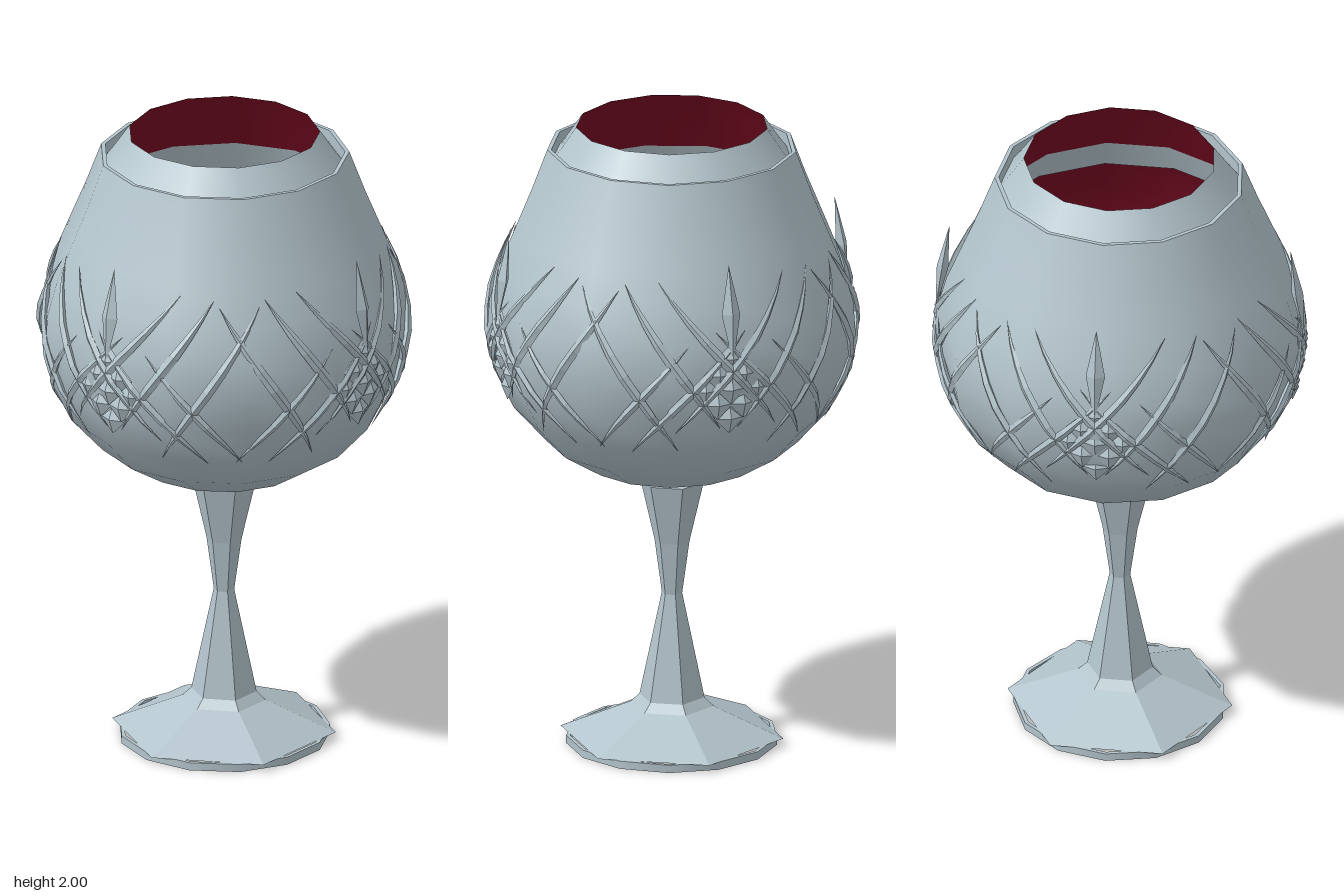
import * as THREE from 'three';

const glass = new THREE.MeshStandardMaterial({ color: 0xb3c4cc });
glass.name = 'pale glass';
const wine = new THREE.MeshStandardMaterial({ color: 0x780a22 });
wine.name = 'dark red lining';

const SIDES = 13;
const rad = THREE.MathUtils.degToRad;

// Outer bowl profile, bottom to top: [radius, height]
const BOWL = [[0, 0.865], [0.14, 0.867], [0.26, 0.905], [0.39, 0.985], [0.49, 1.095], [0.55, 1.22],
  [0.573, 1.345], [0.566, 1.45], [0.535, 1.56], [0.49, 1.67], [0.436, 1.8], [0.387, 1.93]];

function bowlRadius(y) {
  for (let i = 1; i < BOWL.length; i++) {
    const [r0, y0] = BOWL[i - 1], [r1, y1] = BOWL[i];
    if (y <= y1) return r0 + (r1 - r0) * (y - y0) / (y1 - y0);
  }
  return 0.387;
}

function add(parent, name, geometry, material = glass) {
  const mesh = new THREE.Mesh(geometry, material);
  mesh.name = name;
  parent.add(mesh);
  return mesh;
}

function flat(geometry) {
  const g = geometry.index ? geometry.toNonIndexed() : geometry;
  g.computeVertexNormals();
  return g;
}

// Rising profiles face outward, falling profiles face inward
function lathe(profile, sides = SIDES, start = Math.PI) {
  return new THREE.LatheGeometry(profile.map(([r, y]) => new THREE.Vector2(r, y)), sides, start);
}

// Tapered cut that follows the bowl between two [degrees, height] points
function bladeGeometry([a0, y0], [a1, y1], width) {
  const steps = 8, pos = [], index = [];
  const point = (t) => {
    const a = rad(a0 + (a1 - a0) * t), y = y0 + (y1 - y0) * t, r = bowlRadius(y);
    return new THREE.Vector3(Math.sin(a) * r, y, Math.cos(a) * r);
  };
  for (let i = 0; i <= steps; i++) {
    const t = i / steps, p = point(t);
    const along = point(t + 0.01).sub(point(t - 0.01)).normalize();
    const out = new THREE.Vector3(p.x, 0, p.z).normalize();
    const side = along.clone().cross(out).normalize();
    const w = width * Math.sin(Math.PI * t) + 0.0008;
    for (const [v, s] of [[side, w / 2], [out, w * 0.3], [side, -w / 2], [out, -w * 0.5]]) {
      pos.push(...p.clone().addScaledVector(v, s).toArray());
    }
    if (i === steps) break;
    for (let j = 0; j < 4; j++) {
      const a = i * 4 + j, b = i * 4 + (j + 1) % 4;
      index.push(a, a + 4, b, b, a + 4, b + 4);
    }
  }
  const g = new THREE.BufferGeometry();
  g.setAttribute('position', new THREE.Float32BufferAttribute(pos, 3));
  g.setIndex(index);
  return flat(g);
}

// One cut-glass motif: crossing blades, upright spike and a lattice of facets
function cutMotif() {
  const motif = new THREE.Group();
  motif.name = 'cutMotif';
  const blades = [
    [[-24, 1.65], [18, 1.17], 0.03],
    [[-36, 1.64], [-3, 1.18], 0.032],
    [[-34, 1.09], [5, 1.5], 0.028],
    [[-52, 1.62], [-17, 1.1], 0.032],
    [[-46, 1.1], [-14, 1.46], 0.026],
  ];
  for (const [from, to, width] of blades) {
    for (const s of [1, -1]) {
      add(motif, 'cutBlade', bladeGeometry([from[0] * s, from[1]], [to[0] * s, to[1]], width));
    }
  }
  const spike = add(motif, 'uprightSpike', flat(new THREE.OctahedronGeometry(1)));
  spike.scale.set(0.03, 0.155, 0.018);
  spike.position.set(0, 1.555, 0.553);
  spike.rotation.x = -0.14;
  const facet = flat(new THREE.ConeGeometry(0.05, 0.02, 4).rotateX(Math.PI / 2));
  for (let row = -2; row <= 2; row++) {
    const count = 3 - Math.abs(row);
    for (let k = 0; k < count; k++) {
      const a = (k - (count - 1) / 2) * 0.15, y = 1.315 + row * 0.05;
      const f = add(motif, 'latticeFacet', facet);
      f.position.set(Math.sin(a) * bowlRadius(y), y, Math.cos(a) * bowlRadius(y));
      f.rotation.y = a;
    }
  }
  return motif;
}

export function createModel() {
  const model = new THREE.Group();
  model.name = 'goblet';

  // Bowl shell, its rim and the inner lip rising above it
  add(model, 'bowl', lathe(BOWL));
  add(model, 'bowlRim', lathe([[0.387, 1.93], [0.374, 1.93]]));
  add(model, 'bowlRimInside', lathe([[0.374, 1.93], [0.374, 1.88]]));
  add(model, 'lip', lathe([[0.378, 1.885], [0.345, 1.93], [0.297, 2]]));

  // Lining: red neck, clear band, red cup
  add(model, 'neckLining', lathe([[0.296, 2], [0.34, 1.93], [0.405, 1.8]]), wine);
  add(model, 'clearBand', lathe([[0.405, 1.8], [0.45, 1.695]]));
  const cup = BOWL.slice(0, 10).reverse().map(([r, y]) => [r * 0.95, y + 0.018]);
  add(model, 'cupLining', lathe([[0.45, 1.695], ...cup]), wine);

  // Bare glass patches near the bottom of the lining
  for (const [x, z, turn] of [[-0.105, -0.2, 0.2], [0.11, -0.2, 0.7], [0.21, 0.07, 1.2],
    [-0.05, 0.22, 0.5], [-0.225, -0.025, 1.0], [-0.13, 0, 0.1]]) {
    const patch = add(model, 'clearPatch', new THREE.CircleGeometry(0.05, 3).rotateX(-Math.PI / 2));
    patch.position.set(x, 0.955, z);
    patch.rotation.y = turn;
  }

  // Cut decoration on four sides
  for (let i = 0; i < 4; i++) {
    const motif = cutMotif();
    motif.rotation.y = i * Math.PI / 2;
    model.add(motif);
  }

  // Six-sided stem flaring into the foot, hollow beneath
  const stem = [[0.35, 0.025], [0.13, 0.118], [0.102, 0.145], [0.032, 0.48], [0.055, 0.65], [0.1, 0.845], [0, 0.845]];
  add(model, 'stemAndFoot', flat(lathe(stem, 6, Math.PI / 2)));
  add(model, 'footUnderside', lathe([[0, 0.13], [0.12, 0.112], [0.345, 0.022]].slice(), 6, Math.PI / 2));

  // Base ring
  add(model, 'baseRing', lathe([[0.328, 0], [0.328, 0.025]]));
  add(model, 'baseRingTop', lathe([[0.328, 0.025], [0.316, 0.025]]));
  add(model, 'baseRingInside', lathe([[0.316, 0.025], [0.316, 0]]));
  add(model, 'baseRingBottom', lathe([[0.316, 0], [0.328, 0]]));
  return model;
}
